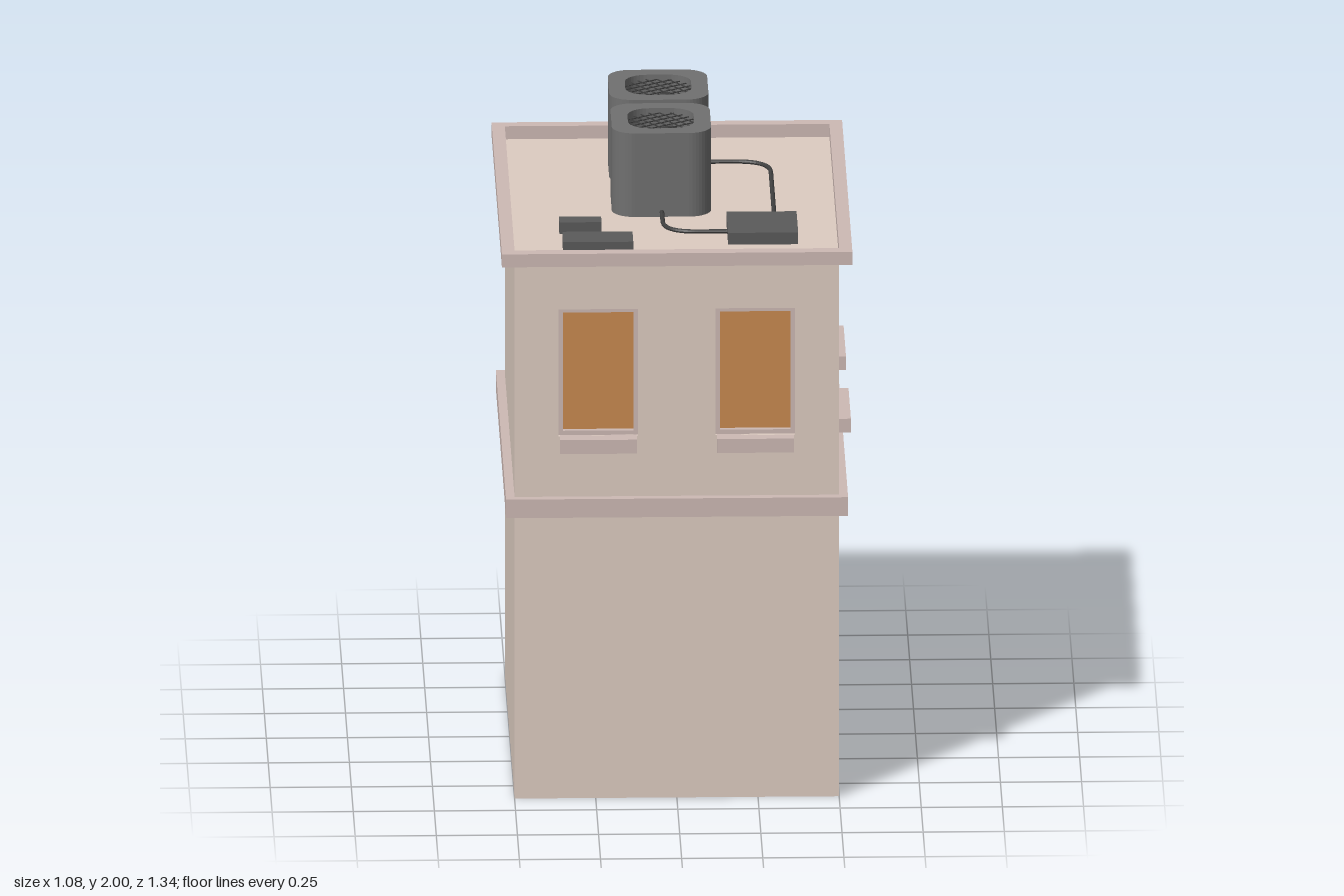
import * as THREE from 'three';

const mat = (color) => new THREE.MeshStandardMaterial({ color, flatShading: true });
const wallMat = mat(0xddccc1), trimMat = mat(0xcdb9b4), glassMat = mat(0xc8894f);
const unitMat = mat(0x707070), boxMat = mat(0x5a5a5a), darkMat = mat(0x404040);
const ROOF = 1.73, RECESS = 0.04;

function add(parent, name, geometry, material, x = 0, y = 0, z = 0) {
  const mesh = new THREE.Mesh(geometry, material);
  mesh.name = name;
  mesh.position.set(x, y, z);
  parent.add(mesh);
  return mesh;
}

// Rectangle with corners rounded by r, centred on (cx, cy)
function rect(w, h, r = 0, cx = 0, cy = 0) {
  const a = w / 2 - r, b = h / 2 - r, s = new THREE.Shape();
  if (!r) {
    return s.setFromPoints([[-a, -b], [a, -b], [a, b], [-a, b]].map(([x, y]) => new THREE.Vector2(cx + x, cy + y)));
  }
  s.absarc(cx + a, cy + b, r, 0, Math.PI / 2);
  s.absarc(cx - a, cy + b, r, Math.PI / 2, Math.PI);
  s.absarc(cx - a, cy - b, r, Math.PI, Math.PI * 1.5);
  s.absarc(cx + a, cy - b, r, Math.PI * 1.5, Math.PI * 2);
  return s;
}

function extrude(outer, holes, depth) {
  outer.holes.push(...holes);
  return new THREE.ExtrudeGeometry(outer, { depth, bevelEnabled: false, curveSegments: 5 });
}

// Flat horizontal ring or slab rising from y = 0
const slab = (outer, holes, height) => extrude(outer, holes, height).rotateX(-Math.PI / 2);

// Wall with two recessed windows; local +z points outwards
function facade(name, width, windowX, windowW) {
  const g = new THREE.Group();
  g.name = name;
  const bottom = 1.17, top = 1.58, h = top - bottom, cy = (top + bottom) / 2;
  const xs = [-windowX, windowX];
  const holes = xs.map((x) => rect(windowW, h, 0, x, cy));
  add(g, 'wall', extrude(rect(width, ROOF, 0, 0, ROOF / 2), holes, RECESS), wallMat, 0, 0, -RECESS);
  for (const x of xs) {
    const frame = extrude(rect(windowW, h), [rect(windowW - 0.028, h - 0.028)], 0.02);
    add(g, 'windowFrame', frame, trimMat, x, cy, -0.032);
    add(g, 'windowPane', new THREE.PlaneGeometry(windowW - 0.02, h - 0.02), glassMat, x, cy, -0.03);
    add(g, 'windowSill', new THREE.BoxGeometry(windowW - 0.008, 0.045, 0.08), trimMat, x, 1.1475, 0);
  }
  return g;
}

// Rooftop cooling unit with fan and wire grille
function coolingUnit() {
  const g = new THREE.Group();
  g.name = 'coolingUnit';
  const height = 2 - ROOF;
  add(g, 'housing', slab(rect(0.306, 0.306, 0.07), [rect(0.204, 0.204, 0.07)], height), unitMat);
  add(g, 'fanWell', slab(rect(0.22, 0.22, 0.07), [], 0.17), unitMat);
  add(g, 'fanHub', new THREE.CylinderGeometry(0.016, 0.016, 0.06, 10), darkMat, 0, 0.2, 0);
  for (let i = 0; i < 3; i++) {
    const blade = new THREE.SphereGeometry(1, 12, 6);
    blade.scale(0.046, 0.004, 0.025).rotateX(0.35).translate(0.052, 0, 0);
    add(g, 'fanBlade', blade, darkMat, 0, 0.215, 0).rotation.y = Math.PI / 3 + (i * Math.PI * 2) / 3;
  }
  // Two crossing sets of wires clipped to the opening
  for (const angle of [0.6, 0.6 + Math.PI / 2]) {
    const wires = new THREE.Group();
    wires.name = 'grilleWires';
    wires.rotation.y = angle;
    for (let i = -3; i <= 3; i++) {
      const off = i * 0.028, length = 2 * Math.sqrt(0.106 ** 2 - off ** 2);
      add(wires, 'wire', new THREE.BoxGeometry(length, 0.003, 0.003), darkMat, 0, height - 0.015, off);
    }
    g.add(wires);
  }
  return g;
}

// Pipe along the roof with one rounded corner; points are [x, z]
function pipe(start, bendIn, corner, bendOut, end) {
  const v = ([x, z]) => new THREE.Vector3(x, ROOF + 0.016, z);
  const path = new THREE.CurvePath();
  path.add(new THREE.LineCurve3(v(start), v(bendIn)));
  path.add(new THREE.QuadraticBezierCurve3(v(bendIn), v(corner), v(bendOut)));
  path.add(new THREE.LineCurve3(v(bendOut), v(end)));
  return new THREE.TubeGeometry(path, 40, 0.007, 8);
}

export function createModel() {
  const model = new THREE.Group();
  model.name = 'building';

  // Solid core behind the window walls; its top is the roof
  add(model, 'core', new THREE.BoxGeometry(1 - RECESS, ROOF, 1.26 - 2 * RECESS), wallMat, -RECESS / 2, ROOF / 2, 0);

  // Windows on the front, back and +x walls
  const front = facade('frontWall', 1, 0.242, 0.245);
  front.position.z = 0.63;
  const back = facade('backWall', 1, 0.242, 0.245);
  back.position.z = -0.63;
  back.rotation.y = Math.PI;
  const side = facade('leftWall', 1.26 - 2 * RECESS, 0.317, 0.32);
  side.position.x = 0.5;
  side.rotation.y = Math.PI / 2;
  model.add(front, back, side);

  // Band between the storeys and roof parapet
  add(model, 'storeyBand', slab(rect(1.054, 1.314), [rect(0.99, 1.25)], 0.06), trimMat, 0, 0.915, 0);
  add(model, 'parapet', slab(rect(1.08, 1.34), [rect(1, 1.26)], 0.042), trimMat, 0, ROOF, 0);

  // Roof equipment
  for (const z of [0.015, -0.325]) {
    const unit = coolingUnit();
    unit.position.set(-0.035, ROOF, z);
    model.add(unit);
  }
  for (const [name, x, z, w, d] of [
    ['junctionBox', 0.27, 0.348, 0.216, 0.216],
    ['largeRoofBox', -0.24, 0.485, 0.216, 0.106],
    ['smallRoofBox', -0.29, 0.308, 0.13, 0.058],
  ]) add(model, name, new THREE.BoxGeometry(w, 0.038, d), boxMat, x, ROOF + 0.019, z);
  add(model, 'longPipe', pipe([0.1, -0.338], [0.2, -0.338], [0.31, -0.338], [0.31, -0.23], [0.31, 0.26]), darkMat);
  add(model, 'shortPipe', pipe([-0.035, 0.15], [-0.035, 0.265], [-0.035, 0.37], [0.07, 0.37], [0.18, 0.37]), darkMat);

  return model;
}
